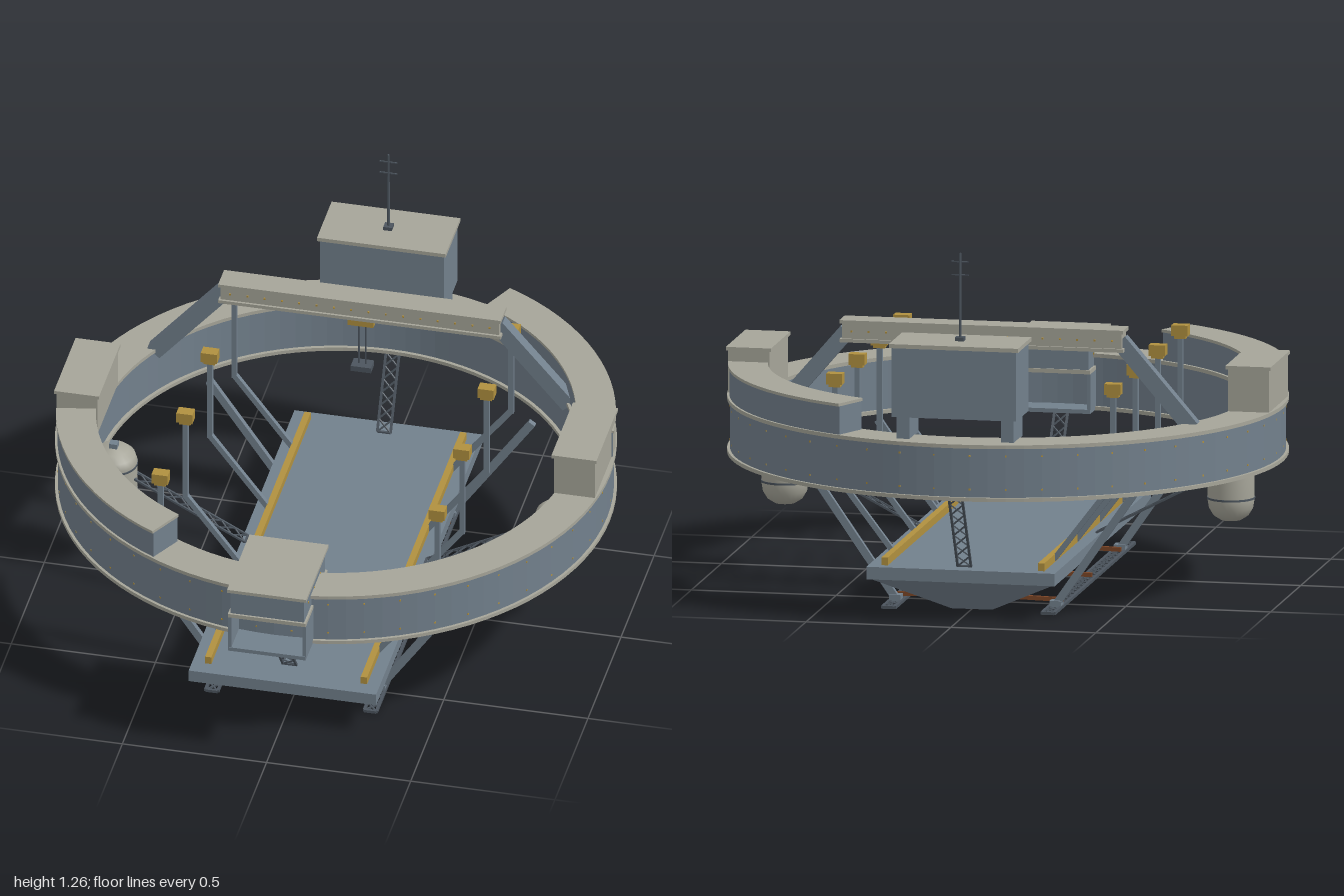
import * as THREE from 'three';

const V = (x, y, z) => new THREE.Vector3(x, y, z);
const mat = (name, color) => {
  const m = new THREE.MeshStandardMaterial({ color });
  m.name = name;
  return m;
};

export function createModel() {
  const steel = mat('blue grey steel', 0x72808c);
  const plate = mat('pale plating', 0xa6a599);
  const gold = mat('ochre fittings', 0xb0903f);
  const dark = mat('dark metal', 0x4c555e);
  const rust = mat('rust brown', 0x7a4526);
  const CZ = -0.05; // centre of the ring along z

  const root = new THREE.Group();
  root.name = 'ringPlatform';

  const add = (name, geo, m, parent = root) => {
    const mesh = new THREE.Mesh(geo, m);
    mesh.name = name;
    parent.add(mesh);
    return mesh;
  };
  // Box given by its lower and upper limits
  const box = (name, m, x0, x1, y0, y1, z0, z1, parent = root) => {
    const b = add(name, new THREE.BoxGeometry(x1 - x0, y1 - y0, z1 - z0), m, parent);
    b.position.set((x0 + x1) / 2, (y0 + y1) / 2, (z0 + z1) / 2);
    return b;
  };
  // Square bar between two points
  const bar = (name, m, a, b, w, h = w, parent = root) => {
    const s = add(name, new THREE.BoxGeometry(w, h, a.distanceTo(b)), m, parent);
    s.position.copy(a).add(b).multiplyScalar(0.5);
    s.lookAt(b);
    return s;
  };
  // Ring or ring sector, angles run from +x towards +z
  const sector = (name, m, r0, r1, y0, y1, a0 = 0, a1 = 360) => {
    const s = new THREE.Shape(), t0 = THREE.MathUtils.degToRad(a0), t1 = THREE.MathUtils.degToRad(a1);
    s.absarc(0, 0, r1, t0, t1, false);
    if (a1 - a0 >= 360) {
      const hole = new THREE.Path();
      hole.absarc(0, 0, r0, 0, Math.PI * 2, true);
      s.holes.push(hole);
    } else s.absarc(0, 0, r0, t1, t0, true);
    const g = new THREE.ExtrudeGeometry(s, {
      depth: y1 - y0, bevelEnabled: false, curveSegments: Math.ceil((a1 - a0) / 7.5),
    });
    g.rotateX(Math.PI / 2).translate(0, y1, CZ);
    return add(name, g, m);
  };
  // Flat lattice with two rails and crossed braces
  const lattice = (name, a, b, side, width, t, n) => {
    const g = new THREE.Group();
    g.name = name;
    root.add(g);
    const off = side.clone().multiplyScalar(width / 2);
    const at = (k, s) => a.clone().lerp(b, k / n).addScaledVector(off, s);
    for (const s of [-1, 1]) bar('rail', dark, at(0, s), at(n, s), t, t, g);
    for (let i = 0; i < n; i++) {
      bar('brace', dark, at(i, -1), at(i + 1, 1), t * 0.6, t * 0.6, g);
      bar('brace', dark, at(i, 1), at(i + 1, -1), t * 0.6, t * 0.6, g);
    }
    for (const i of [0, n]) bar('rung', dark, at(i, -1), at(i, 1), t, t, g);
  };

  // Main ring with flanges
  sector('ringWall', steel, 0.82, 0.94, 0.45, 0.625);
  sector('ringTopFlange', plate, 0.808, 0.95, 0.622, 0.635);
  sector('ringBottomFlange', plate, 0.808, 0.95, 0.44, 0.453);
  // Raised ring sections
  for (const [a0, a1] of [[-64.5, -6], [118, 168.5]]) {
    sector('raisedSection', steel, 0.818, 0.942, 0.635, 0.732, a0, a1);
    sector('raisedSectionCap', plate, 0.812, 0.947, 0.732, 0.742, a0, a1);
  }
  // Rivets round the ring wall
  const rivet = new THREE.BoxGeometry(0.006, 0.006, 0.006);
  for (let i = 0; i < 48; i++) for (const y of [0.48, 0.595]) {
    const a = (i + 0.5) * Math.PI / 24;
    const r = add('rivet', rivet, gold);
    r.position.set(0.938 * Math.cos(a), y, CZ + 0.938 * Math.sin(a));
    r.rotation.y = -a;
  }

  // Hull below a flat deck
  box('deck', steel, -0.325, 0.325, 0.13, 0.173, -0.84, 0.76);
  const hull = new THREE.BoxGeometry(0.64, 0.125, 1.57);
  const p = hull.attributes.position;
  for (let i = 0; i < p.count; i++) {
    if (p.getY(i) < 0) p.setXYZ(i, p.getX(i) * 0.22, p.getY(i), p.getZ(i) * 0.78);
  }
  hull.computeVertexNormals();
  add('hull', hull, steel).position.set(0, 0.0685, -0.04);

  for (const s of [-1, 1]) {
    // Deck rails
    box('deckRail', gold, s * 0.27 - 0.011, s * 0.27 + 0.011, 0.173, 0.2, -0.8, 0.705);
    // Skid lattice and its cross arms
    lattice('skid', V(s * 0.275, 0.012, 0.63), V(s * 0.275, 0.012, -0.71), V(1, 0, 0), 0.042, 0.01, 26);
    for (const z of [0.43, CZ, -0.52]) bar('skidArm', rust, V(s * 0.1, 0.03, z), V(s * 0.29, 0.025, z), 0.014);
    // Heavy sloping struts
    for (const z of [0.485, -0.58]) {
      bar('strut', steel, V(s * 0.56, 0.43, z), V(s * 0.28, 0.025, z), 0.02, 0.026);
      box('strutFoot', steel, s * 0.277 - 0.02, s * 0.277 + 0.02, 0.012, 0.034, z - 0.02, z + 0.02);
    }
    // Lamp posts with bent stems
    for (const z of [-0.61, -0.24, 0.13, 0.505]) {
      bar('lampPost', steel, V(s * 0.48, 0.76, z), V(s * 0.48, 0.44, z), 0.018);
      bar('lampStem', steel, V(s * 0.48, 0.448, z), V(s * 0.275, 0.18, z), 0.018);
      box('lampHead', gold, s * 0.48 - 0.028, s * 0.48 + 0.028, 0.755, 0.792, z - 0.02, z + 0.02);
      box('lampCollar', gold, s * 0.48 - 0.02, s * 0.48 + 0.02, 0.745, 0.757, z - 0.015, z + 0.015);
    }
    // Side cabin on the ring
    const x = s * 0.8625;
    box('sideCabin', plate, x - 0.071, x + 0.071, 0.633, 0.78, -0.207, 0.105);
    box('sideCabinLid', plate, x - 0.078, x + 0.078, 0.78, 0.792, -0.214, 0.112);
    // Hanging tank
    const tank = new THREE.Group();
    tank.name = 'tank';
    tank.position.set(s * 0.77, 0, CZ);
    root.add(tank);
    const prof = [[0, 0.23], [0.035, 0.234], [0.06, 0.25], [0.075, 0.275], [0.08, 0.305], [0.08, 0.43],
      [0.072, 0.455], [0.05, 0.475], [0, 0.485]].map(([r, y]) => new THREE.Vector2(r, y));
    add('tankShell', new THREE.LatheGeometry(prof, 24), plate, tank);
    for (const y of [0.31, 0.42]) {
      add('tankBand', new THREE.CylinderGeometry(0.082, 0.082, 0.007, 24), dark, tank).position.y = y;
    }
    box('tankFitting', steel, -0.014, 0.014, 0.475, 0.5, -0.014, 0.014, tank);
    // Sloping lattice from ring to deck
    lattice('sideLattice', V(s * 0.82, 0.44, CZ), V(s * 0.31, 0.175, CZ), V(0, 0, 1), 0.042, 0.007, 11);
    // Gantry leg
    bar('gantryLeg', steel, V(s * 0.47, 0.91, -0.45), V(s * 0.72, 0.62, -0.45), 0.042, 0.055);
    // Leg of the rear tower
    box('towerLeg', steel, s * 0.18 - 0.022, s * 0.18 + 0.022, 0.632, 0.72, -0.93, -0.78);
  }
  lattice('frontLattice', V(0, 0.45, 0.86), V(0, 0.175, 0.65), V(1, 0, 0), 0.046, 0.008, 7);
  lattice('rearLattice', V(0, 0.45, -0.93), V(0, 0.175, -0.775), V(1, 0, 0), 0.046, 0.008, 7);

  // Gantry beam with trolley and hook plate
  box('gantryWeb', plate, -0.483, 0.483, 0.885, 0.942, -0.487, -0.413);
  box('gantryTop', plate, -0.49, 0.49, 0.94, 0.952, -0.495, -0.405);
  box('gantryBottom', plate, -0.49, 0.49, 0.876, 0.888, -0.495, -0.405);
  for (let i = 0; i < 16; i++) for (const z of [-0.488, -0.412]) {
    add('beamRivet', rivet, gold).position.set(-0.45 + i * 0.06, 0.914, z);
  }
  box('trolley', gold, -0.045, 0.045, 0.845, 0.878, -0.48, -0.42);
  for (const s of [-1, 1]) bar('hoistRod', dark, V(s * 0.012, 0.85, -0.45), V(s * 0.012, 0.67, -0.45), 0.005);
  box('hookPlate', dark, -0.035, 0.035, 0.655, 0.675, -0.475, -0.425);

  // Rear tower and mast
  box('tower', steel, -0.215, 0.215, 0.712, 0.95, -0.95, -0.745);
  box('towerRoof', plate, -0.223, 0.223, 0.95, 0.964, -0.958, -0.736);
  box('mastBase', dark, -0.015, 0.015, 0.964, 0.977, -0.86, -0.83);
  add('mast', new THREE.CylinderGeometry(0.004, 0.005, 0.3, 8), dark).position.set(0, 1.115, -0.845);
  for (const y of [1.19, 1.235]) box('mastArm', dark, -0.03, 0.03, y - 0.002, y + 0.002, -0.847, -0.843);

  // Front cab wrapped around the ring
  box('cabRoof', plate, -0.137, 0.137, 0.68, 0.692, 0.66, 1);
  box('cabUpper', steel, -0.128, 0.128, 0.59, 0.68, 0.67, 0.99);
  box('cabFloor', steel, -0.135, 0.135, 0.442, 0.456, 0.665, 0.997);
  box('cabSill', plate, -0.135, 0.135, 0.578, 0.592, 0.665, 0.997);
  for (const s of [-1, 1]) {
    box('cabSide', steel, s * 0.129 - 0.006, s * 0.129 + 0.006, 0.45, 0.585, 0.667, 0.995);
    for (let i = 0; i < 3; i++) add('cabRivet', rivet, gold).position.set(s * 0.128, 0.635, 0.75 + i * 0.09);
  }
  return root;
}
